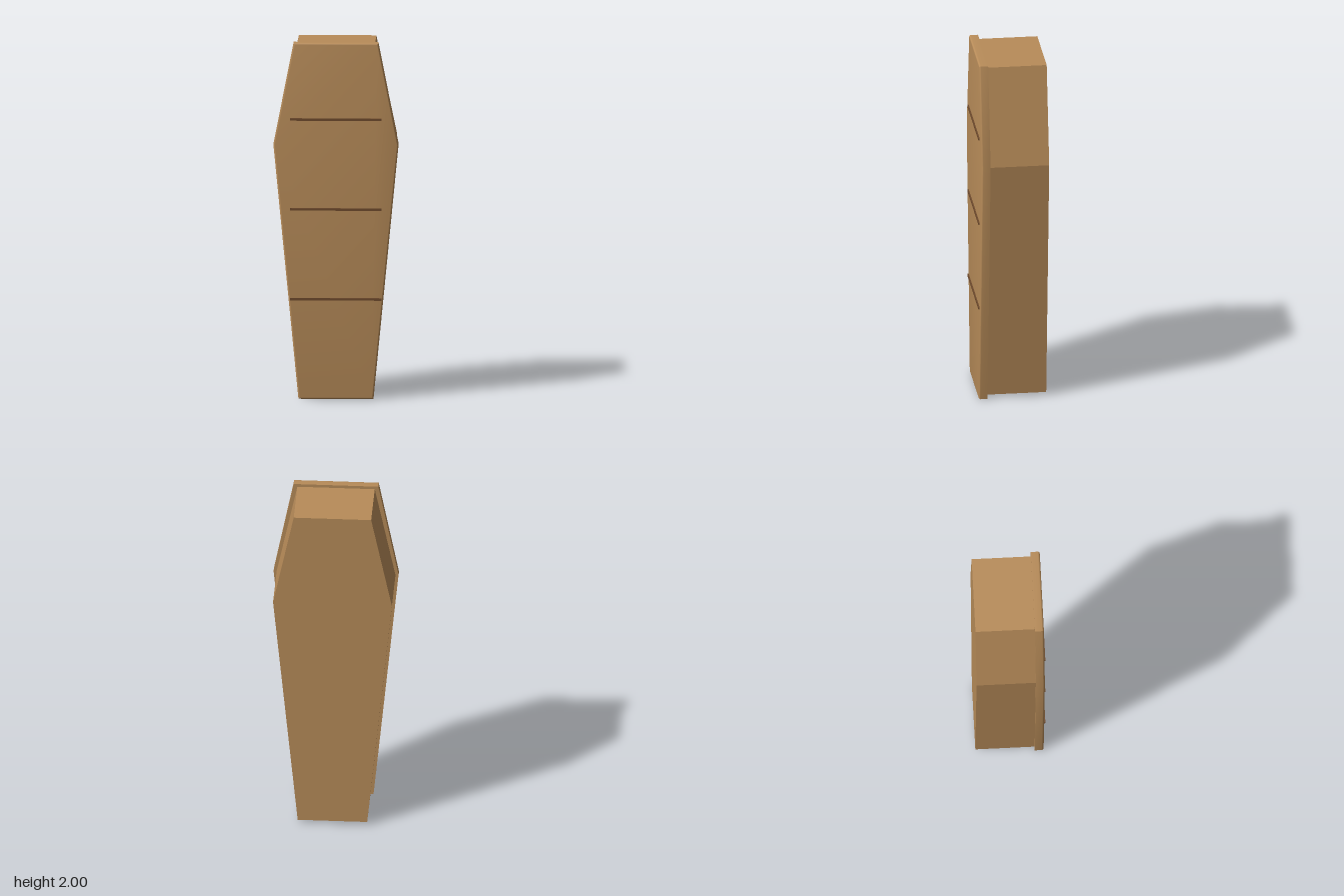
import * as THREE from 'three';
import { toCreasedNormals } from 'three/addons/utils/BufferGeometryUtils.js';

// Six-sided outline, mirrored about x = 0, from [half width, height] pairs
function outline(points) {
  const right = points.map(([x, y]) => new THREE.Vector2(x, y));
  const left = points.map(([x, y]) => new THREE.Vector2(-x, y)).reverse();
  return new THREE.Shape([...right, ...left]);
}

export function createModel() {
  const group = new THREE.Group();
  const wood = new THREE.MeshStandardMaterial({ color: 0xb88c59 });
  wood.name = 'wood';
  const darkWood = new THREE.MeshStandardMaterial({ color: 0x6e4a2c });
  darkWood.name = 'dark wood';

  function add(name, geometry, material, x, y, z) {
    const mesh = new THREE.Mesh(geometry, material);
    mesh.name = name;
    mesh.position.set(x, y, z);
    group.add(mesh);
  }

  // Deep box with sharp edges
  const boxShape = outline([[0.193, 0.02], [0.33, 1.43], [0.215, 1.983]]);
  add('box', new THREE.ExtrudeGeometry(boxShape, { depth: 0.33, bevelEnabled: false }), wood, 0, 0, -0.193);

  // Overhanging lid, rounded at the front only
  const lidShape = outline([[0.208, 0], [0.347, 1.43], [0.235, 2]]);
  const round = 0.01;
  const lid = new THREE.ExtrudeGeometry(lidShape, {
    depth: 0.04, bevelThickness: round, bevelSize: round, bevelOffset: -round, bevelSegments: 4,
  });
  // Flatten the back bevel so the underside stays square
  const position = lid.attributes.position;
  for (let i = 0; i < position.count; i++) position.setZ(i, Math.max(0, position.getZ(i)));
  add('lid', toCreasedNormals(lid, 0.5), wood, 0, 0, 0.136);

  // Thin dark seams across the lid
  for (const y of [0.562, 1.067, 1.572]) {
    add('seam', new THREE.BoxGeometry(0.506, 0.013, 0.008), darkWood, 0, y, 0.189);
  }
  return group;
}
